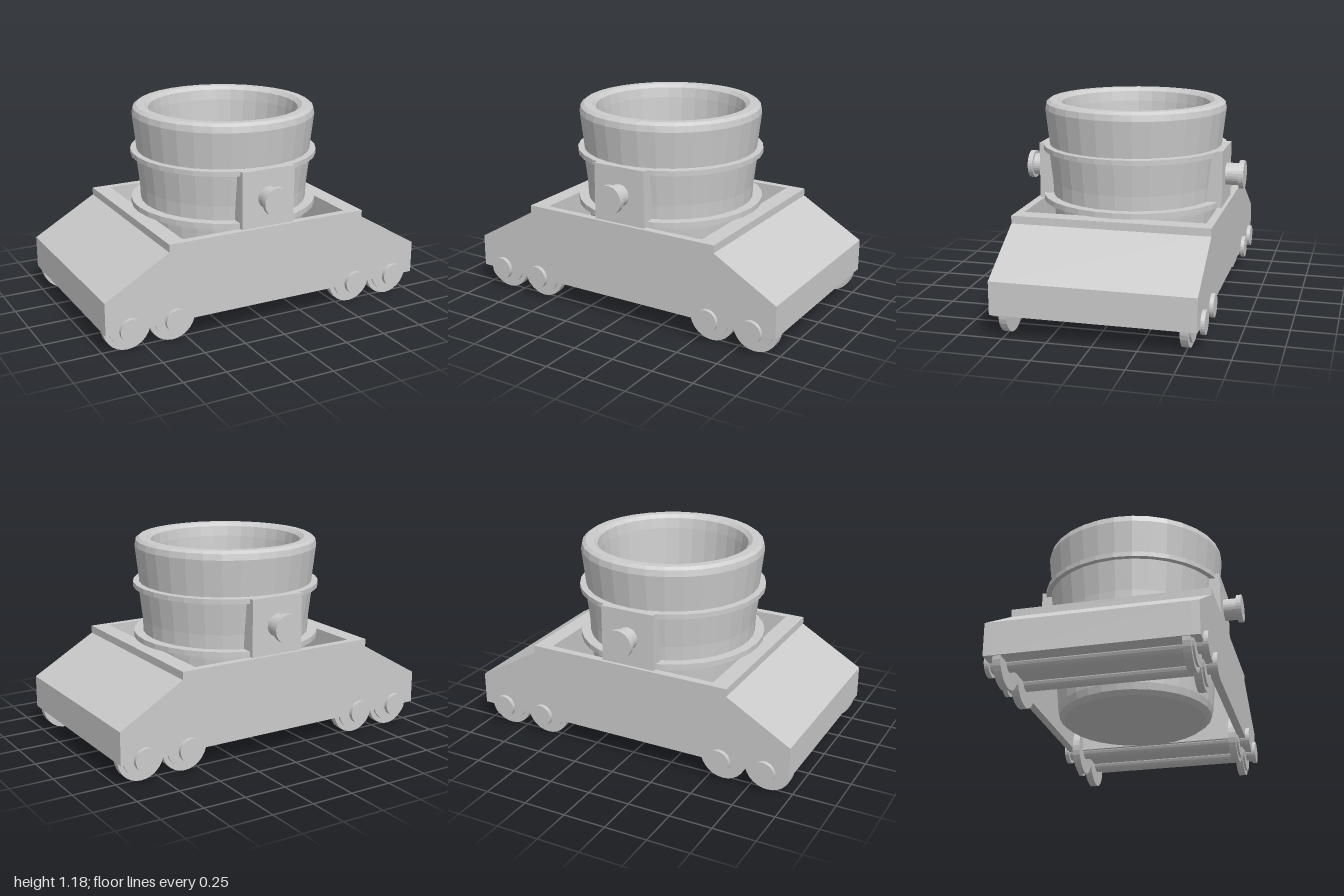
import * as THREE from 'three';

const grey = new THREE.MeshStandardMaterial({ color: 0xcccccc, flatShading: true });

function add(parent, name, geometry, x = 0, y = 0, z = 0) {
  const mesh = new THREE.Mesh(geometry, grey);
  mesh.name = name;
  mesh.position.set(x, y, z);
  parent.add(mesh);
  return mesh;
}

// Flat profile in x/y, extruded from z0 to z1
function slab(points, z0, z1) {
  const shape = new THREE.Shape(points.map(([x, y]) => new THREE.Vector2(x, y)));
  return new THREE.ExtrudeGeometry(shape, { depth: z1 - z0, bevelEnabled: false }).translate(0, 0, z0);
}

// Cylinder lying along z from z0 to z1
function rod(radius, z0, z1, sides = 28) {
  return new THREE.CylinderGeometry(radius, radius, z1 - z0, sides)
    .rotateX(Math.PI / 2)
    .translate(0, 0, (z0 + z1) / 2);
}

function lathe(points, sides = 32) {
  return new THREE.LatheGeometry(points.map(([r, y]) => new THREE.Vector2(r, y)), sides);
}

function createCarriage() {
  const carriage = new THREE.Group();
  carriage.name = 'carriage';

  // Long side plates with sloping ends
  const half = [[1, 0.13], [1, 0.32], [0.62, 0.54], [0.62, 0.585]];
  const outline = [...half, ...half.map(([x, y]) => [-x, y]).reverse()];
  add(carriage, 'leftRightSidePlateFront', slab(outline, 0.525, 0.57)).name = 'frontSidePlate';
  add(carriage, 'backSidePlate', slab(outline, -0.57, -0.525));

  // Solid end blocks, leaving an open well between them
  const block = [[0.52, 0.13], ...half, [0.52, 0.585]];
  add(carriage, 'leftEndBlock', slab(block, -0.525, 0.525));
  add(carriage, 'rightEndBlock', slab(block.map(([x, y]) => [-x, y]).reverse(), -0.525, 0.525));

  // Four axles, each with two flanged wheels and two hub caps
  for (const x of [-0.855, -0.585, 0.585, 0.855]) {
    const wheelSet = new THREE.Group();
    wheelSet.name = 'wheelSet';
    wheelSet.position.set(x, 0.14, 0);
    carriage.add(wheelSet);
    add(wheelSet, 'axle', rod(0.048, -0.575, 0.575, 20));
    for (const side of [1, -1]) {
      const wheel = new THREE.Group();
      wheel.name = 'wheel';
      wheel.rotation.y = side > 0 ? 0 : Math.PI;
      wheelSet.add(wheel);
      add(wheel, 'flange', rod(0.14, 0.475, 0.518));
      add(wheel, 'tread', rod(0.112, 0.515, 0.53));
      add(wheel, 'hubCap', rod(0.067, 0.568, 0.593));
    }
  }
  return carriage;
}

function createPot() {
  const pot = new THREE.Group();
  pot.name = 'pot';

  // Hollow body: underside, outer wall, lip, inner wall, floor
  add(pot, 'body', lathe([
    [0, 0.087], [0.415, 0.087], [0.445, 0.11], [0.455, 0.15], [0.49, 0.55],
    [0.497, 0.7], [0.52, 0.9], [0.513, 0.92], [0.537, 1.13], [0.53, 1.165],
    [0.51, 1.18], [0.465, 1.18], [0.44, 1.16], [0.43, 1.1], [0.355, 0.3], [0, 0.3],
  ]));

  // Raised bands
  for (const [name, y0, y1] of [['lowerBand', 0.585, 0.617], ['upperBand', 0.888, 0.917]]) {
    add(pot, name, lathe([[0.48, y0], [0.55, y0], [0.55, y1], [0.48, y1]]));
  }

  // Mounting plates and trunnions, front and back
  for (const side of [1, -1]) {
    const mount = new THREE.Group();
    mount.name = side > 0 ? 'frontMount' : 'backMount';
    mount.rotation.y = side > 0 ? 0 : Math.PI;
    pot.add(mount);
    add(mount, 'plate', new THREE.BoxGeometry(0.33, 0.34, 0.09), 0, 0.747, 0.505);
    add(mount, 'trunnion', rod(0.065, 0.54, 0.63), 0, 0.753);
    add(mount, 'trunnionCap', rod(0.083, 0.628, 0.658), 0, 0.753);
  }
  return pot;
}

export function createModel() {
  const model = new THREE.Group();
  model.name = 'wheeledPotCarriage';
  model.add(createCarriage(), createPot());
  return model;
}
